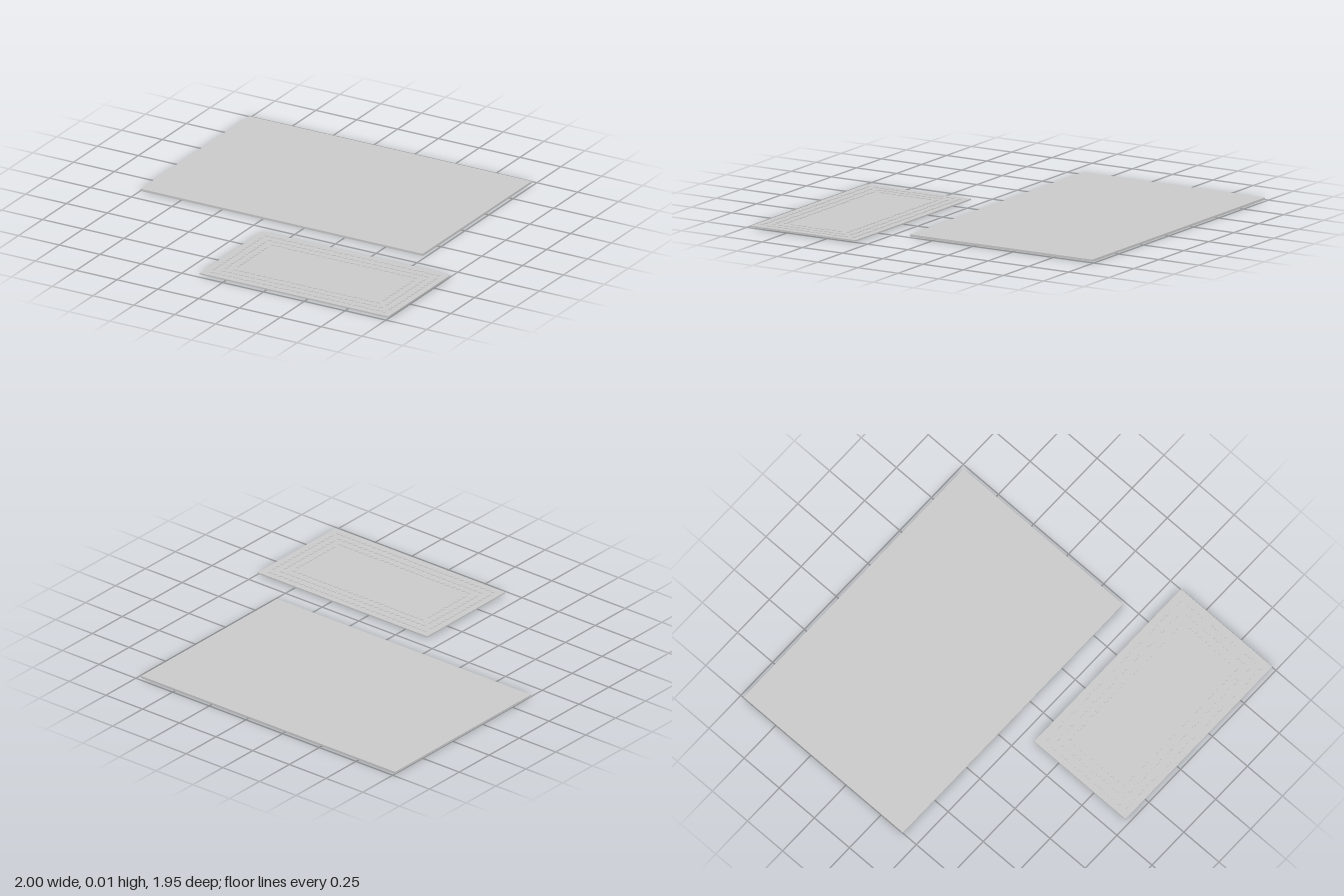
import * as THREE from 'three';
import { mergeGeometries } from 'three/addons/utils/BufferGeometryUtils.js';

const material = new THREE.MeshStandardMaterial({ color: 0xcccccc, flatShading: true });

// Box given by its lower and upper limits on each axis
function slab(x0, x1, y0, y1, z0, z1) {
  const g = new THREE.BoxGeometry(x1 - x0, y1 - y0, z1 - z0);
  return g.translate((x0 + x1) / 2, (y0 + y1) / 2, (z0 + z1) / 2);
}

// One rectangular ring of short raised dashes, inset from the panel's edge
function dashRing(panel, inset, width, pitch, y0, y1) {
  const [x0, x1, z0, z1] = panel;
  const ax = x0 + inset, bx = x1 - inset, az = z0 + inset, bz = z1 - inset;
  const dashes = [];
  const nx = Math.round((bx - ax) / pitch), nz = Math.round((bz - az) / pitch);
  const px = (bx - ax) / nx, pz = (bz - az) / nz;
  for (let i = 0; i < nx; i++) {
    const s = ax + (i + 0.2) * px, e = s + px * 0.6;
    dashes.push(slab(s, e, y0, y1, az, az + width), slab(s, e, y0, y1, bz - width, bz));
  }
  for (let i = 1; i < nz - 1; i++) {
    const s = az + (i + 0.2) * pz, e = s + pz * 0.6;
    dashes.push(slab(ax, ax + width, y0, y1, s, e), slab(bx - width, bx, y0, y1, s, e));
  }
  return mergeGeometries(dashes);
}

export function createModel() {
  const model = new THREE.Group();
  const add = (name, geometry) => {
    const mesh = new THREE.Mesh(geometry, material);
    mesh.name = name;
    model.add(mesh);
  };

  // Large plain panel
  add('largePanel', slab(-1, 0.73, 0, 0.012, -0.98, 0.155));

  // Small panel with a raised dashed border
  const panel = [-0.155, 1, 0.325, 0.975];
  add('smallPanel', slab(panel[0], panel[1], 0.004, 0.012, panel[2], panel[3]));
  [0.035, 0.08, 0.125].forEach((inset, i) =>
    add(`borderDashes${i + 1}`, dashRing(panel, inset, 0.012, 0.035, 0.011, 0.015)));

  return model;
}
